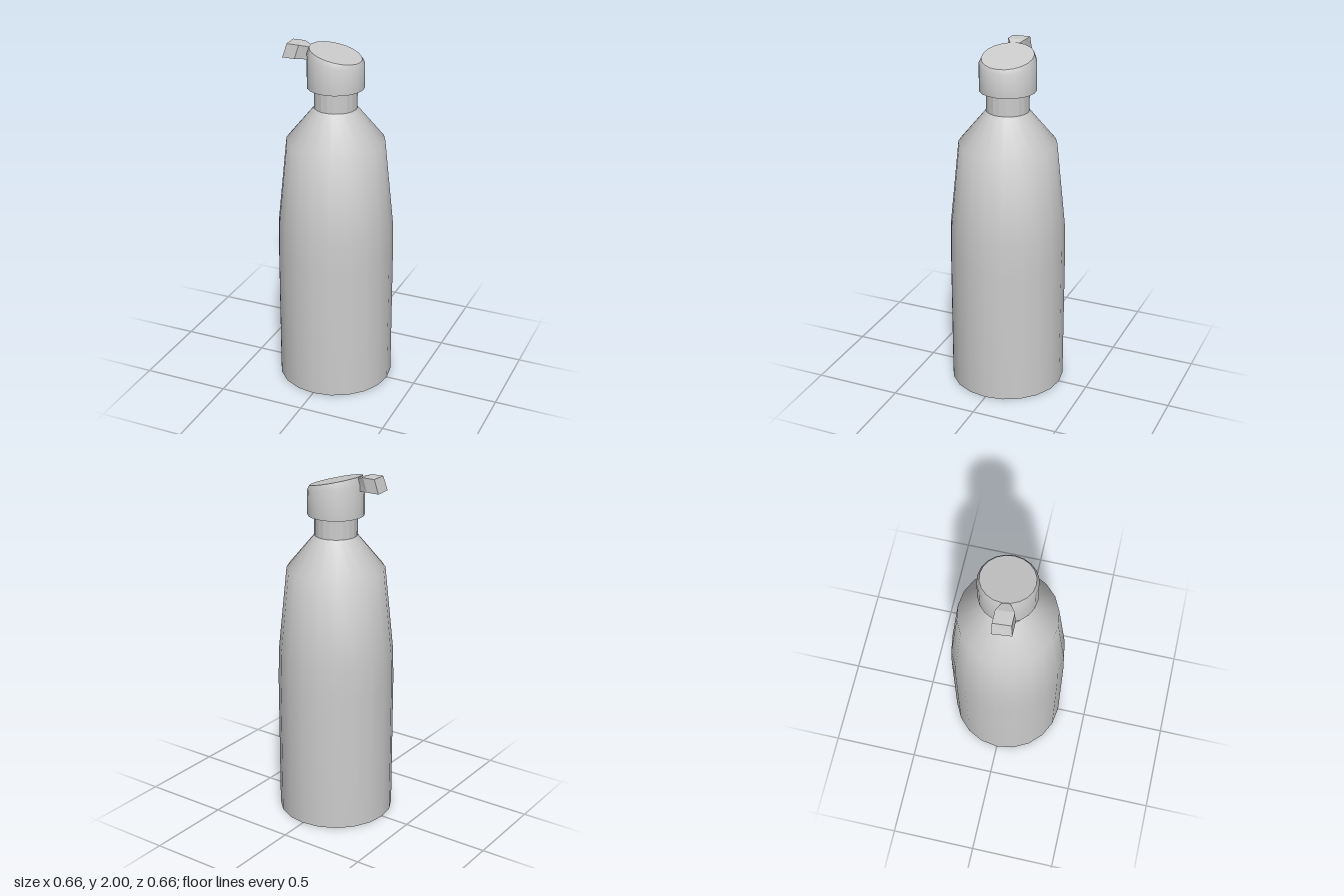
import * as THREE from 'three';
import { toCreasedNormals } from 'three/addons/utils/BufferGeometryUtils.js';

const SIDES = 20;
const CREASE = 0.65;

function material(flatShading = false) {
  return new THREE.MeshStandardMaterial({ color: 0xcccccc, flatShading });
}

function lathe(profile) {
  return new THREE.LatheGeometry(profile.map(([r, y]) => new THREE.Vector2(r, y)), SIDES);
}

// Closed solid skinned over four-cornered sections, running along +x.
// Corner order: top back, top front, bottom front, bottom back.
function loftQuads(sections) {
  const index = [];
  const last = (sections.length - 1) * 4;
  for (let s = 0; s < last; s += 4) {
    for (let i = 0; i < 4; i++) {
      const j = (i + 1) % 4;
      index.push(s + i, s + j, s + 4 + j, s + i, s + 4 + j, s + 4 + i);
    }
  }
  index.push(0, 2, 1, 0, 3, 2, last, last + 1, last + 2, last, last + 2, last + 3);
  const geometry = new THREE.BufferGeometry();
  geometry.setAttribute('position', new THREE.Float32BufferAttribute(sections.flat(2), 3));
  geometry.setIndex(index);
  const flat = geometry.toNonIndexed();
  flat.computeVertexNormals();
  return flat;
}

export function createModel() {
  const group = new THREE.Group();
  const add = (name, geometry, flat) => {
    const mesh = new THREE.Mesh(geometry, material(flat));
    mesh.name = name;
    group.add(mesh);
  };

  // Bottle body with closed base, tapering to the shoulder
  add('body', toCreasedNormals(lathe([
    [0, 0], [0.33, 0], [0.33, 0.8], [0.325, 0.98], [0.275, 1.465], [0.12, 1.653],
  ]), CREASE));

  // Faceted neck
  add('neck', lathe([[0.12, 1.653], [0.12, 1.768]]), true);

  // Cap: its upper rings are sheared so the top slopes down towards +x
  const cap = lathe([[0.12, 1.768], [0.158, 1.768], [0.158, 1.925], [0.144, 1.958], [0, 1.958]]);
  const p = cap.attributes.position;
  for (let i = 0; i < p.count; i++) {
    const y = p.getY(i);
    if (y > 1.95) p.setY(i, y - 0.24 * p.getX(i));
    else if (y > 1.9) p.setY(i, y - 0.16 * p.getX(i));
  }
  add('cap', toCreasedNormals(cap, CREASE));

  // Spout: skewed block that narrows to a stem entering the cap
  add('spout', loftQuads([
    [[-0.262, 2, -0.022], [-0.255, 2, 0.076], [-0.279, 1.923, 0.084], [-0.29, 1.923, -0.022]],
    [[-0.19, 2, -0.022], [-0.183, 2, 0.076], [-0.207, 1.923, 0.084], [-0.218, 1.923, -0.022]],
    [[-0.132, 1.985, 0.005], [-0.13, 1.985, 0.037], [-0.148, 1.915, 0.04], [-0.15, 1.915, 0.003]],
  ]), true);

  return group;
}
